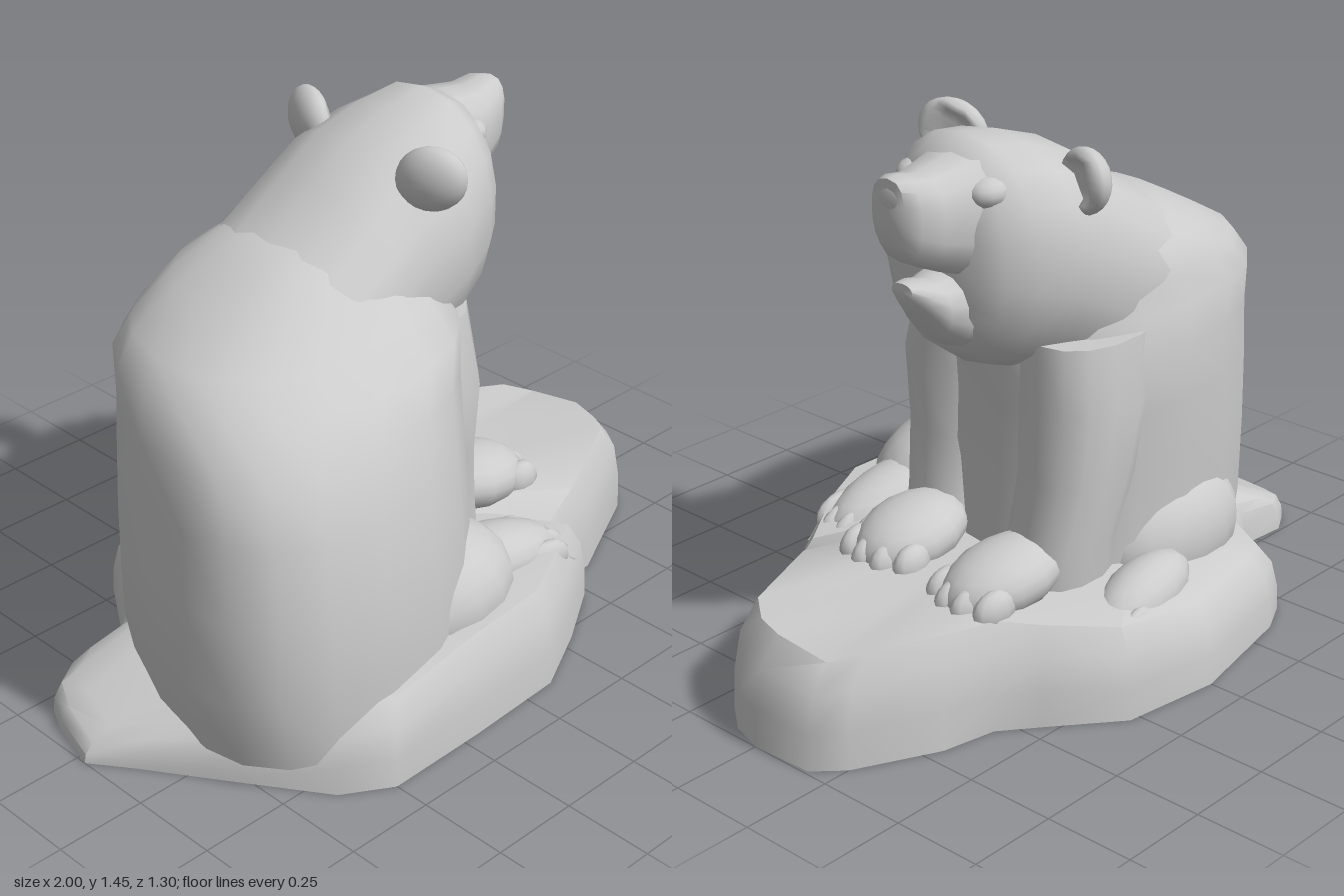
import * as THREE from 'three';
import { mergeVertices, toCreasedNormals } from 'three/addons/utils/BufferGeometryUtils.js';

const material = new THREE.MeshStandardMaterial({ color: 0xcccccc });

function add(group, name, geometry) {
  const mesh = new THREE.Mesh(geometry, material);
  mesh.name = name;
  group.add(mesh);
  return mesh;
}

// Skin a list of rings (equal point counts) and close both ends with a fan
function loft(rings, crease = 1.0) {
  const n = rings[0].length, pos = [], index = [];
  rings.forEach(r => r.forEach(p => pos.push(...p)));
  for (let i = 0; i < rings.length - 1; i++) {
    for (let j = 0; j < n; j++) {
      const a = i * n + j, b = i * n + (j + 1) % n;
      index.push(a, a + n, b, b, a + n, b + n);
    }
  }
  [[0, false], [rings.length - 1, true]].forEach(([k, last]) => {
    const c = pos.length / 3;
    pos.push(...[0, 1, 2].map(d => rings[k].reduce((s, p) => s + p[d], 0) / n));
    for (let j = 0; j < n; j++) {
      const a = k * n + j, b = k * n + (j + 1) % n;
      index.push(...(last ? [a, c, b] : [a, b, c]));
    }
  });
  const g = new THREE.BufferGeometry();
  g.setAttribute('position', new THREE.Float32BufferAttribute(pos, 3));
  g.setIndex(index);
  return toCreasedNormals(g, crease);
}

// Rounded outline inside the given limits, as [u, v] pairs
function outline(u0, u1, v0, v1, n, power) {
  const soft = t => Math.sign(t) * Math.abs(t) ** power;
  return Array.from({ length: n }, (_, i) => {
    const a = i / n * Math.PI * 2;
    return [(u0 + u1) / 2 + (u1 - u0) / 2 * soft(Math.cos(a)),
      (v0 + v1) / 2 + (v1 - v0) / 2 * soft(Math.sin(a))];
  });
}

// Level ring at height y; shear slides the +z side towards -x
const levelRing = ([y, x0, x1, z0, z1], shear = 0, n = 20, power = 0.85) =>
  outline(x0, x1, z0, z1, n, power).map(([x, z]) => [x - shear * (z - (z0 + z1) / 2), y, z]).reverse();

// Upright ring at position x
const uprightRing = ([x, y0, y1, z0, z1], n = 18, power = 0.9) =>
  outline(y0, y1, z0, z1, n, power).map(([y, z]) => [x, y, z]);

function flip(g) {
  const p = g.attributes.position;
  const index = [];
  for (let i = 0; i < p.count; i += 3) index.push(i, i + 2, i + 1);
  g.setIndex(index);
  return toCreasedNormals(g, 1.0);
}

// Make sure a closed skin faces outwards
function solid(rings, crease) {
  const g = loft(rings, crease), p = g.attributes.position;
  const a = new THREE.Vector3(), b = new THREE.Vector3(), c = new THREE.Vector3();
  let volume = 0;
  for (let i = 0; i < p.count; i += 3) {
    a.fromBufferAttribute(p, i); b.fromBufferAttribute(p, i + 1); c.fromBufferAttribute(p, i + 2);
    volume += a.dot(b.cross(c));
  }
  return volume < 0 ? flip(g) : g;
}

// Foot with four toes and claws, pointing to +x before turning
function foot(name, x, y, z, length, width, turn) {
  const g = new THREE.Group();
  g.name = name;
  const pad = new THREE.SphereGeometry(1, 14, 10);
  pad.scale(length * 0.55, 0.09, width * 0.5);
  add(g, 'pad', pad);
  for (let i = 0; i < 4; i++) {
    const t = (i - 1.5) / 1.5;
    const toeX = length * (0.42 - 0.08 * t * t), toeZ = t * width * 0.36;
    const toe = new THREE.SphereGeometry(1, 10, 8);
    toe.scale(length * 0.2, 0.055, width * 0.14);
    add(g, 'toe', toe).position.set(toeX, -0.01, toeZ);
    const claw = new THREE.ConeGeometry(0.018, 0.09, 6);
    claw.rotateZ(-Math.PI / 2 - 0.35);
    add(g, 'claw', claw).position.set(toeX + length * 0.2, -0.03, toeZ);
  }
  g.position.set(x, y, z);
  g.rotation.set(0, turn, -0.15);
  return g;
}

// Ear: flattened ball, hollowed on its forward side
function ear(side) {
  const g = mergeVertices(new THREE.SphereGeometry(1, 16, 12).deleteAttribute('uv').deleteAttribute('normal'));
  const p = g.attributes.position;
  for (let i = 0; i < p.count; i++) {
    const r = Math.hypot(p.getY(i), p.getZ(i));
    if (p.getX(i) > 0) p.setX(i, p.getX(i) * (r < 0.6 ? 0.1 : 0.8));
  }
  g.scale(0.055, 0.085, 0.1);
  g.rotateX(-side * 0.35);
  g.rotateY(side * 0.35);
  g.computeVertexNormals();
  return g;
}

export function createModel() {
  const bear = new THREE.Group();
  bear.name = 'sittingBear';

  // Rock: outline points as x, z and rim height
  const rim = [
    [1, 0, .26], [.97, .1, .26], [.91, .18, .27], [.6, .33, .25], [.43, .345, .16], [.48, .42, .22],
    [.3, .53, .25], [.1, .63, .25], [-.2, .645, .24], [-.5, .65, .2], [-.63, .57, .19], [-.8, .32, .13],
    [-.92, .14, .09], [-1, .03, .06], [-.96, -.12, .08], [-.92, -.2, .1], [-.85, -.24, .11], [-.7, -.23, .13],
    [-.6, -.3, .16], [-.45, -.53, .18], [-.35, -.58, .19], [0, -.65, .2], [.28, -.61, .22],
    [.45, -.47, .24], [.55, -.39, .26], [.7, -.36, .27], [.92, -.25, .26], [.99, -.18, .24]];
  const rockRing = (scale, height) => rim.map(([x, z, h]) => [x * scale, height(h), z * scale]);
  add(bear, 'rock', solid([
    rockRing(1, () => 0), rockRing(.995, h => h * .4), rockRing(.97, h => h * .8),
    rockRing(.91, h => h * 1.08), rockRing(.6, h => .2 + h * .35), rockRing(.25, () => .29)], .8));

  // Body, sitting at a slant on the rock
  add(bear, 'body', solid([
    [.08, -.78, .2, -.4, .57], [.28, -.82, .2, -.41, .58], [.5, -.81, .19, -.42, .57],
    [.7, -.785, .2, -.43, .53], [.85, -.765, .22, -.43, .48], [.95, -.73, .23, -.41, .41],
    [1.02, -.66, .22, -.38, .31], [1.1, -.5, .2, -.36, .23], [1.16, -.38, .12, -.28, .15],
    [1.19, -.28, .05, -.18, .07]].map(r => levelRing(r, r[0] < .9 ? .28 : .15))));

  // Neck and head
  add(bear, 'neckAndHead', solid([
    [-.42, .75, 1.12, -.3, .22], [-.25, .7, 1.2, -.37, .27], [-.1, .7, 1.29, -.38, .25],
    [.04, .72, 1.38, -.38, .24], [.18, .8, 1.425, -.36, .24], [.3, .84, 1.445, -.32, .19],
    [.37, .89, 1.41, -.27, .14], [.41, .96, 1.34, -.22, .08]].map(r => uprightRing(r))));

  // Muzzle, nose, lower jaw and throat
  add(bear, 'muzzle', solid([
    [.3, 1.1, 1.42, -.24, .08], [.4, 1.11, 1.405, -.21, .04], [.49, 1.15, 1.39, -.19, .01],
    [.55, 1.18, 1.4, -.17, -.01], [.58, 1.23, 1.395, -.14, -.03]].map(r => uprightRing(r, 14, .75)), .7));
  const nose = new THREE.SphereGeometry(1, 12, 8);
  nose.scale(.03, .05, .06);
  add(bear, 'nose', nose).position.set(.555, 1.345, -.085);
  add(bear, 'lowerJaw', solid([
    [.3, .88, 1.15, -.22, .06], [.4, .92, 1.12, -.19, .03], [.45, .96, 1.11, -.17, 0],
    [.5, 1.03, 1.12, -.15, -.02], [.54, 1.08, 1.12, -.12, -.05]].map(r => uprightRing(r, 14))));
  [-1, 1].forEach(side => {
    const brow = new THREE.SphereGeometry(1, 12, 8);
    brow.scale(.06, .04, .05);
    add(bear, 'brow', brow).position.set(.35, 1.33, -.075 + side * .12);
  });

  // Ears
  add(bear, 'leftEar', ear(-1)).position.set(.13, 1.33, -.31);
  add(bear, 'rightEar', ear(1)).position.set(.06, 1.34, .2);

  // Front legs
  add(bear, 'leftFrontLeg', solid([
    [.22, .02, .32, -.38, -.14], [.38, .02, .31, -.4, -.15], [.55, -.04, .275, -.42, -.15],
    [.75, -.1, .265, -.43, -.13], [.92, -.12, .25, -.41, -.12]].map(r => levelRing(r, 0, 14))));
  add(bear, 'rightFrontLeg', solid([
    [.22, -.03, .28, .0, .26], [.38, -.05, .25, .01, .27], [.55, -.12, .22, .01, .3],
    [.75, -.18, .23, -.01, .32], [.95, -.18, .22, -.02, .27]].map(r => levelRing(r, 0, 14))));
  bear.add(foot('leftFrontPaw', .36, .32, -.25, .34, .25, -.1));
  bear.add(foot('rightFrontPaw', .34, .32, .1, .32, .26, .05));

  // Hind feet and knees
  bear.add(foot('rightHindFoot', .12, .27, .37, .44, .22, -.05));
  bear.add(foot('leftHindFoot', .06, .22, -.46, .34, .18, .1));
  [['rightKnee', -.1, .27, .36, .2], ['leftKnee', -.2, .27, -.33, .14]].forEach(([name, x, y, z, r]) => {
    const knee = new THREE.SphereGeometry(1, 16, 12);
    knee.scale(.26, .18, r);
    add(bear, name, knee).position.set(x, y, z);
  });
  return bear;
}
